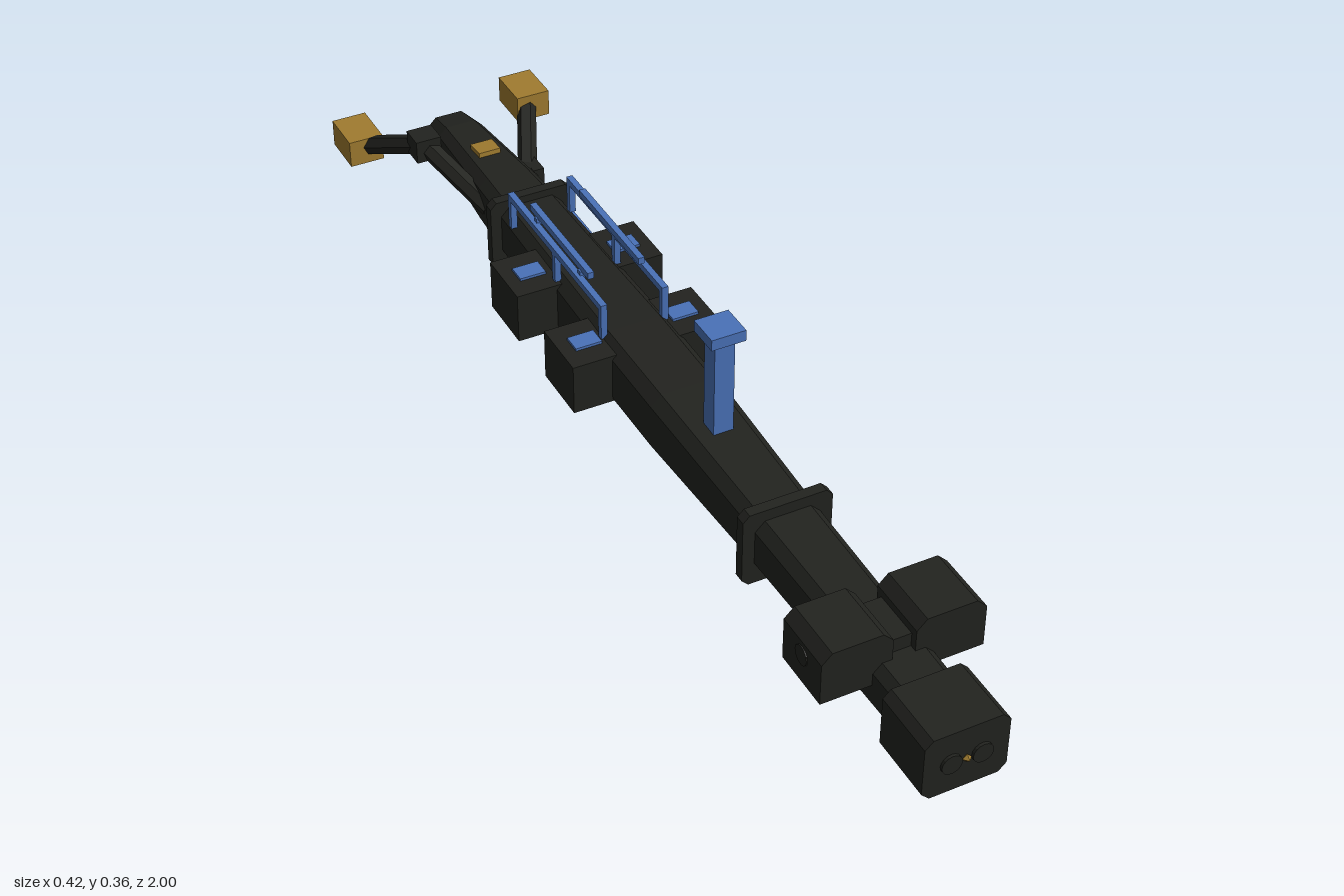
import * as THREE from 'three';

const mat = (color) => new THREE.MeshStandardMaterial({ color, flatShading: true, side: THREE.DoubleSide });

export function createModel() {
  const root = new THREE.Group();
  const black = mat(0x22231f), blue = mat(0x4a72b8), gold = mat(0xa07c30);

  const add = (name, geometry, material, x = 0, y = 0, z = 0) => {
    const m = new THREE.Mesh(geometry, material);
    m.name = name;
    m.position.set(x, y, z);
    root.add(m);
    return m;
  };
  const box = (name, material, w, h, d, x, y, z) =>
    add(name, new THREE.BoxGeometry(w, h, d), material, x, y, z);

  // Straight bar between two points
  const bar = (name, material, a, b, r, sides) => {
    const p = new THREE.Vector3(...a), q = new THREE.Vector3(...b);
    const dir = q.clone().sub(p);
    const m = add(name, new THREE.CylinderGeometry(r, r, dir.length(), sides), material);
    m.position.copy(p).add(q).multiplyScalar(0.5);
    m.quaternion.setFromUnitVectors(new THREE.Vector3(0, 1, 0), dir.normalize());
    return m;
  };

  // Loft of chamfered rectangles, front to back: [z, halfWidth, bottom, top, chamfer]
  const loft = (name, sections) => {
    const pos = [], idx = [], n = 8;
    for (const [z, w, b, t, c] of sections) {
      const ring = [[w, b + c], [w, t - c], [w - c, t], [c - w, t], [-w, t - c], [-w, b + c], [c - w, b], [w - c, b]];
      for (const [x, y] of ring) pos.push(x, y, z);
    }
    const last = (sections.length - 1) * n;
    for (let s = 0; s < last; s += n)
      for (let i = 0; i < n; i++) {
        const a = s + i, a1 = s + (i + 1) % n;
        idx.push(a, a + n, a1, a1, a + n, a1 + n);
      }
    for (let i = 1; i < n - 1; i++) idx.push(0, i, i + 1, last, last + i + 1, last + i);
    const g = new THREE.BufferGeometry();
    g.setAttribute('position', new THREE.Float32BufferAttribute(pos, 3));
    g.setIndex(idx);
    const flat = g.toNonIndexed();
    flat.computeVertexNormals();
    return add(name, flat, black);
  };

  // Main hull, nose block and collars
  loft('hull', [
    [0.9, 0.052, 0.05, 0.138, 0.015], [0.44, 0.06, 0.043, 0.144, 0.018],
    [0.1, 0.069, 0.031, 0.154, 0.02], [-0.1, 0.07, 0.031, 0.154, 0.02],
    [-0.54, 0.061, 0.04, 0.15, 0.018], [-0.64, 0.058, 0.043, 0.147, 0.018],
    [-0.86, 0.046, 0.056, 0.13, 0.016], [-0.92, 0.041, 0.066, 0.118, 0.014],
  ]);
  loft('noseBlock', [
    [0.99, 0.074, 0.031, 0.15, 0.014], [0.87, 0.074, 0.031, 0.15, 0.014],
  ]);
  for (const z of [0.44, -0.54])
    loft('collar', [[z + 0.01, 0.082, 0.019, 0.165, 0.012], [z - 0.01, 0.082, 0.019, 0.165, 0.012]]);

  // Nose details
  for (const s of [-1, 1])
    add('noseLens', new THREE.CylinderGeometry(0.018, 0.018, 0.01, 16), black, s * 0.027, 0.09, 0.99)
      .rotation.x = Math.PI / 2;
  add('noseStud', new THREE.OctahedronGeometry(0.008), gold, 0, 0.09, 0.992);

  // Upper front pods with chamfered tops
  const podShape = new THREE.Shape([
    [-0.062, 0], [0.062, 0], [0.062, 0.079], [0.044, 0.097], [-0.044, 0.097], [-0.062, 0.079],
  ].map(([x, y]) => new THREE.Vector2(x, y)));
  const podGeometry = new THREE.ExtrudeGeometry(podShape, { depth: 0.115, bevelEnabled: false });
  for (const s of [-1, 1]) {
    add('frontPod', podGeometry, black, s * 0.082, 0.1, 0.693);
    add('podPort', new THREE.CylinderGeometry(0.018, 0.018, 0.006, 12), black, s * 0.143, 0.153, 0.75)
      .rotation.z = Math.PI / 2;
  }
  box('podBridge', black, 0.06, 0.03, 0.09, 0, 0.15, 0.75);

  // Mast
  box('mast', blue, 0.037, 0.2, 0.036, 0, 0.244, 0.212);
  box('mastCap', blue, 0.063, 0.021, 0.062, 0, 0.349, 0.212);

  for (const s of [-1, 1]) {
    // Side pods with top hatches
    for (const z of [-0.335, -0.105]) {
      box('sidePod', black, 0.09, 0.098, 0.118, s * 0.099, 0.094, z);
      box('podHatch', blue, 0.05, 0.006, 0.036, s * 0.094, 0.145, z);
    }
    // Guard rails and raised grab bars
    box('guardRail', blue, 0.012, 0.013, 0.388, s * 0.059, 0.207, -0.292);
    for (const z of [-0.104, -0.292, -0.48])
      box('railPost', blue, 0.012, 0.065, 0.012, s * 0.059, 0.174, z);
    box('grabBar', blue, 0.012, 0.013, 0.24, s * 0.049, 0.227, -0.29);
    for (const z of [-0.2, -0.38])
      box('grabBracket', blue, 0.01, 0.014, 0.01, s * 0.053, 0.215, z);

    // Cranked tail arms, one bent down and one bent up
    const elbow = [s * 0.106, s > 0 ? 0.023 : 0.158, -0.785];
    bar('armInner', black, [s * 0.045, 0.092, -0.62], elbow, 0.019, 6);
    bar('armOuter', black, elbow, [s * 0.172, 0.092, -0.93], 0.019, 6);
    box('armElbow', black, 0.05, 0.046, 0.048, ...elbow);
    box('armTip', gold, 0.068, 0.054, 0.09, s * 0.178, 0.091, -0.955);
  }

  // Slats along the left flank
  for (const y of [0.087, 0.104, 0.121])
    box('flankSlat', blue, 0.012, 0.009, 0.36, 0.065, y, -0.325);

  // Small plates above the tail and under the belly
  box('tailPlate', gold, 0.044, 0.012, 0.042, 0, 0.143, -0.738).rotation.x = -0.08;
  box('bellyPlate', gold, 0.042, 0.012, 0.042, 0, 0.026, 0.06);
  box('bellyStud', gold, 0.022, 0.008, 0.022, 0, 0.018, 0.06);

  return root;
}
